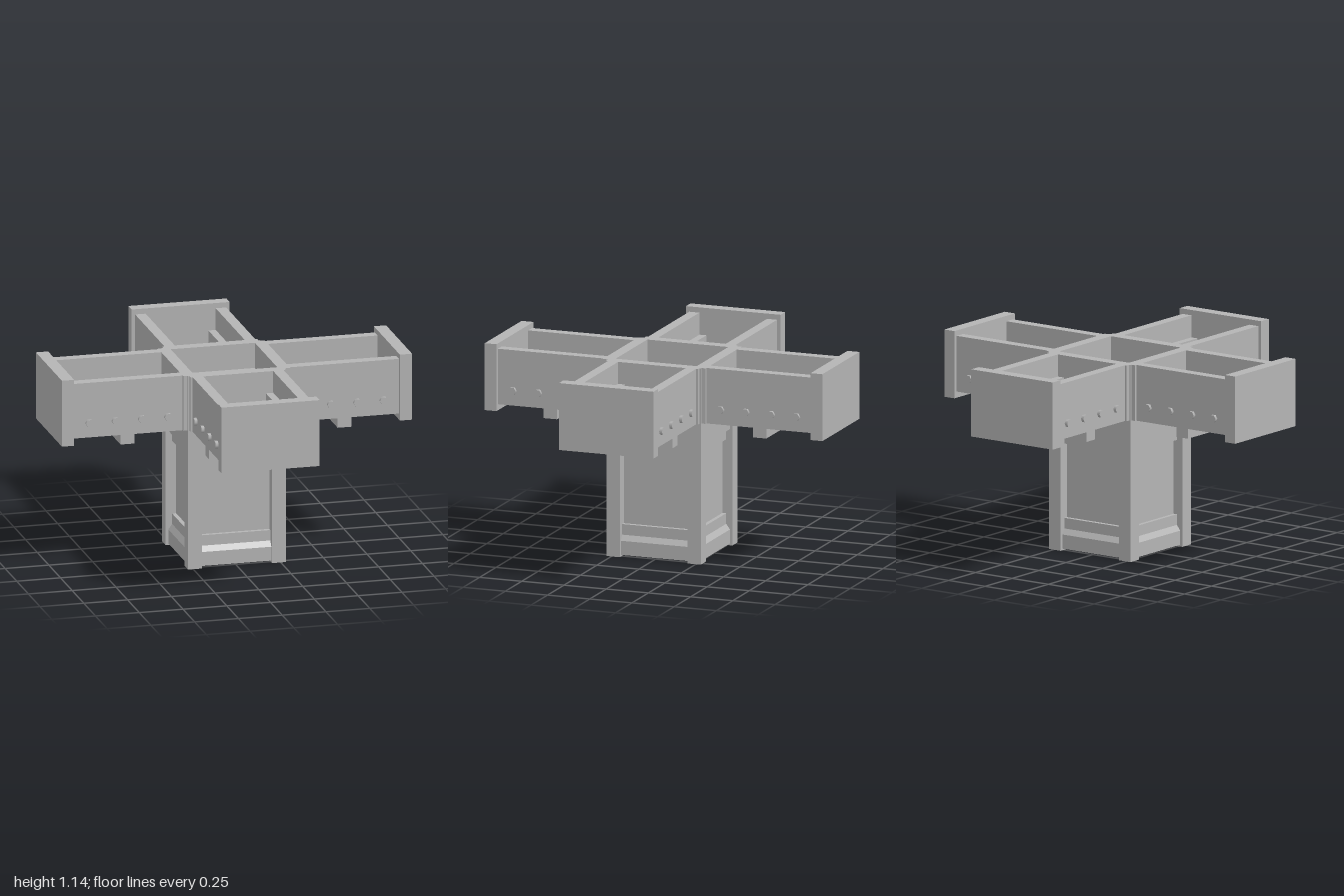
import * as THREE from 'three';

const grey = new THREE.MeshStandardMaterial({ color: 0xb4b4b4 });
grey.name = 'grey frame';
const amber = new THREE.MeshStandardMaterial({ color: 0xca8e44 });
amber.name = 'amber infill';

// Box given by its minimum and maximum on each axis
function box(parent, name, [x0, x1], [y0, y1], [z0, z1], material = grey) {
  const mesh = new THREE.Mesh(new THREE.BoxGeometry(x1 - x0, y1 - y0, z1 - z0), material);
  mesh.position.set((x0 + x1) / 2, (y0 + y1) / 2, (z0 + z1) / 2);
  mesh.name = name;
  parent.add(mesh);
  return mesh;
}

// Square frame, open in the middle
function ring(parent, name, outer, inner, y0, y1) {
  const square = (C, r) => new C([[-r, -r], [r, -r], [r, r], [-r, r]].map(([x, y]) => new THREE.Vector2(x, y)));
  const shape = square(THREE.Shape, outer);
  shape.holes.push(square(THREE.Path, inner));
  const geometry = new THREE.ExtrudeGeometry(shape, { depth: y1 - y0, bevelEnabled: false });
  geometry.rotateX(-Math.PI / 2);
  const mesh = new THREE.Mesh(geometry, grey);
  mesh.position.y = y0;
  mesh.name = name;
  parent.add(mesh);
}

// Trough arm reaching along +x
function createArm() {
  const arm = new THREE.Group();
  arm.name = 'arm';
  box(arm, 'endPanel', [0.93, 1], [0.765, 1.145], [-0.28, 0.28]);
  box(arm, 'collar', [0.28, 0.305], [0.8, 1.115], [-0.272, 0.272]);
  box(arm, 'floorBoard', [0.3, 0.93], [0.825, 0.91], [-0.2, 0.2]);
  box(arm, 'infill', [0.305, 0.93], [0.91, 0.918], [-0.16, 0.16], amber);
  box(arm, 'crossBar', [0.58, 0.66], [0.745, 0.826], [-0.26, 0.26]);
  const bolt = new THREE.CylinderGeometry(0.022, 0.022, 0.018, 6);
  bolt.rotateY(Math.PI / 2);
  bolt.rotateX(Math.PI / 2);
  for (const s of [-1, 1]) {
    const span = (a, b) => [Math.min(s * a, s * b), Math.max(s * a, s * b)];
    box(arm, 'sideWall', [0.3, 0.93], [0.8, 1.115], span(0.2, 0.26));
    box(arm, 'innerRail', [0.3, 0.93], [0.91, 0.99], span(0.158, 0.2));
    for (let i = 0; i < 4; i++) {
      const mesh = new THREE.Mesh(bolt, grey);
      mesh.position.set(0.39 + i * 0.15, 0.885, s * 0.268);
      mesh.name = 'bolt';
      arm.add(mesh);
    }
  }
  return arm;
}

// Column trim for the +x side
function createSide() {
  const side = new THREE.Group();
  side.name = 'columnSide';
  box(side, 'cornerPost', [0.2, 0.28], [0, 0.765], [0.2, 0.28]);
  box(side, 'baseRail', [0.2, 0.265], [0.01, 0.09], [-0.2, 0.2]);
  box(side, 'lowerRail', [0.2, 0.243], [0.12, 0.18], [-0.2, 0.2]);
  box(side, 'upperRail', [0.2, 0.243], [0.6, 0.66], [-0.2, 0.2]);
  box(side, 'topRail', [0.2, 0.265], [0.66, 0.745], [-0.2, 0.2]);
  // Sloping ledge above the base rail
  const shape = new THREE.Shape([[0.2, 0.09], [0.265, 0.09], [0.243, 0.12], [0.2, 0.12]]
    .map(([x, y]) => new THREE.Vector2(x, y)));
  const ledge = new THREE.Mesh(new THREE.ExtrudeGeometry(shape, { depth: 0.4, bevelEnabled: false }), grey);
  ledge.position.z = -0.2;
  ledge.name = 'slopingLedge';
  side.add(ledge);
  return side;
}

export function createModel() {
  const model = new THREE.Group();
  model.name = 'crossPlanter';

  // Column core and its cap
  box(model, 'columnCore', [-0.22, 0.22], [0.01, 0.75], [-0.22, 0.22]);
  box(model, 'columnCap', [-0.27, 0.27], [0.745, 0.8], [-0.27, 0.27]);

  // Central bay with stepped lining
  box(model, 'centreFloor', [-0.27, 0.27], [0.78, 0.9], [-0.27, 0.27]);
  ring(model, 'centreWall', 0.28, 0.24, 0.765, 1.115);
  ring(model, 'upperLining', 0.24, 0.22, 0.9, 0.97);
  ring(model, 'lowerLining', 0.22, 0.2, 0.9, 0.935);
  box(model, 'centreInfill', [-0.2, 0.2], [0.9, 0.908], [-0.2, 0.2], amber);

  // Four arms and four column sides
  for (let i = 0; i < 4; i++) {
    for (const part of [createArm(), createSide()]) {
      part.rotation.y = i * Math.PI / 2;
      model.add(part);
    }
  }
  return model;
}
